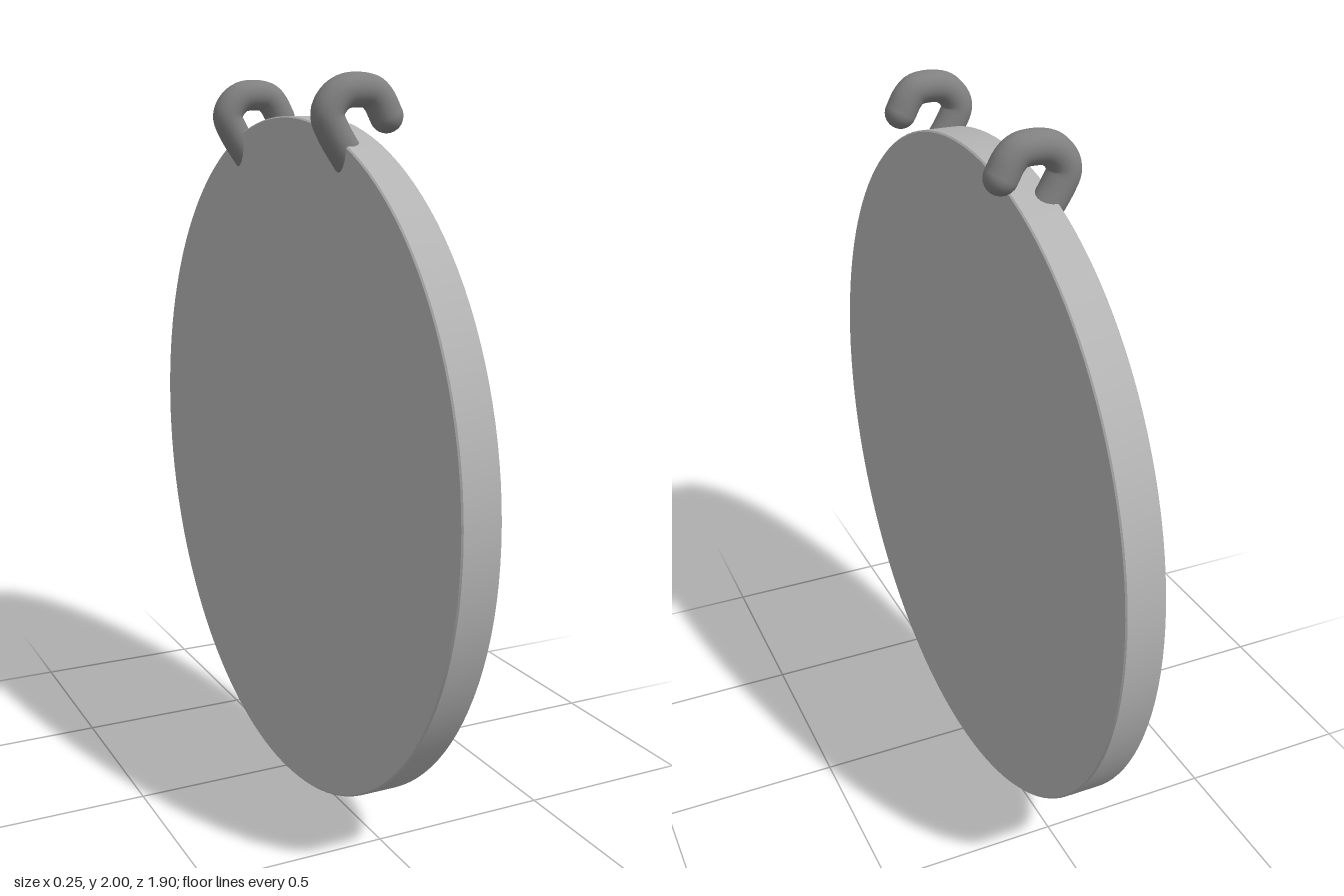
import * as THREE from 'three';
import { toCreasedNormals } from 'three/addons/utils/BufferGeometryUtils.js';

const R = 0.95, WIRE = 0.043;

export function createModel() {
  const model = new THREE.Group();
  model.name = 'hangingDisc';

  const paleGrey = new THREE.MeshStandardMaterial({ color: 0xb4b4b4 });
  paleGrey.name = 'pale grey';
  const darkGrey = new THREE.MeshStandardMaterial({ color: 0x808080 });
  darkGrey.name = 'dark grey';

  // Round plate with finely chamfered rims, turned to face sideways
  const back = -0.052, front = 0.055, c = 0.004;
  const profile = [
    [0, back], [R - c, back], [R, back + c],
    [R, front - c], [R - c, front], [0, front],
  ].map(([r, h]) => new THREE.Vector2(r, h));
  const plate = toCreasedNormals(new THREE.LatheGeometry(profile, 128), 0.5);
  plate.rotateZ(-Math.PI / 2);
  const disc = new THREE.Mesh(plate, paleGrey);
  disc.name = 'disc';
  disc.position.y = R;
  model.add(disc);

  // Hook wire: rises out of the back face, arches over the rim, ends free
  const points = [
    [-0.012, 1.777], [-0.066, 1.858], [-0.083, 1.9], [-0.07, 1.932], [-0.036, 1.957],
    [0.036, 1.957], [0.06, 1.938], [0.083, 1.898],
  ].map(([x, y]) => new THREE.Vector3(x, y, 0));
  const path = new THREE.CatmullRomCurve3(points);
  const wire = new THREE.TubeGeometry(path, 48, WIRE, 20);
  const tip = new THREE.SphereGeometry(WIRE, 20, 14);

  for (const [name, z] of [['frontHook', 0.33], ['backHook', -0.315]]) {
    const hook = new THREE.Group();
    hook.name = name;
    hook.position.z = z;
    const bend = new THREE.Mesh(wire, darkGrey);
    bend.name = 'hookWire';
    hook.add(bend);
    for (const p of [points[0], points[points.length - 1]]) {
      const end = new THREE.Mesh(tip, darkGrey);
      end.name = 'hookTip';
      end.position.copy(p);
      hook.add(end);
    }
    model.add(hook);
  }
  return model;
}
